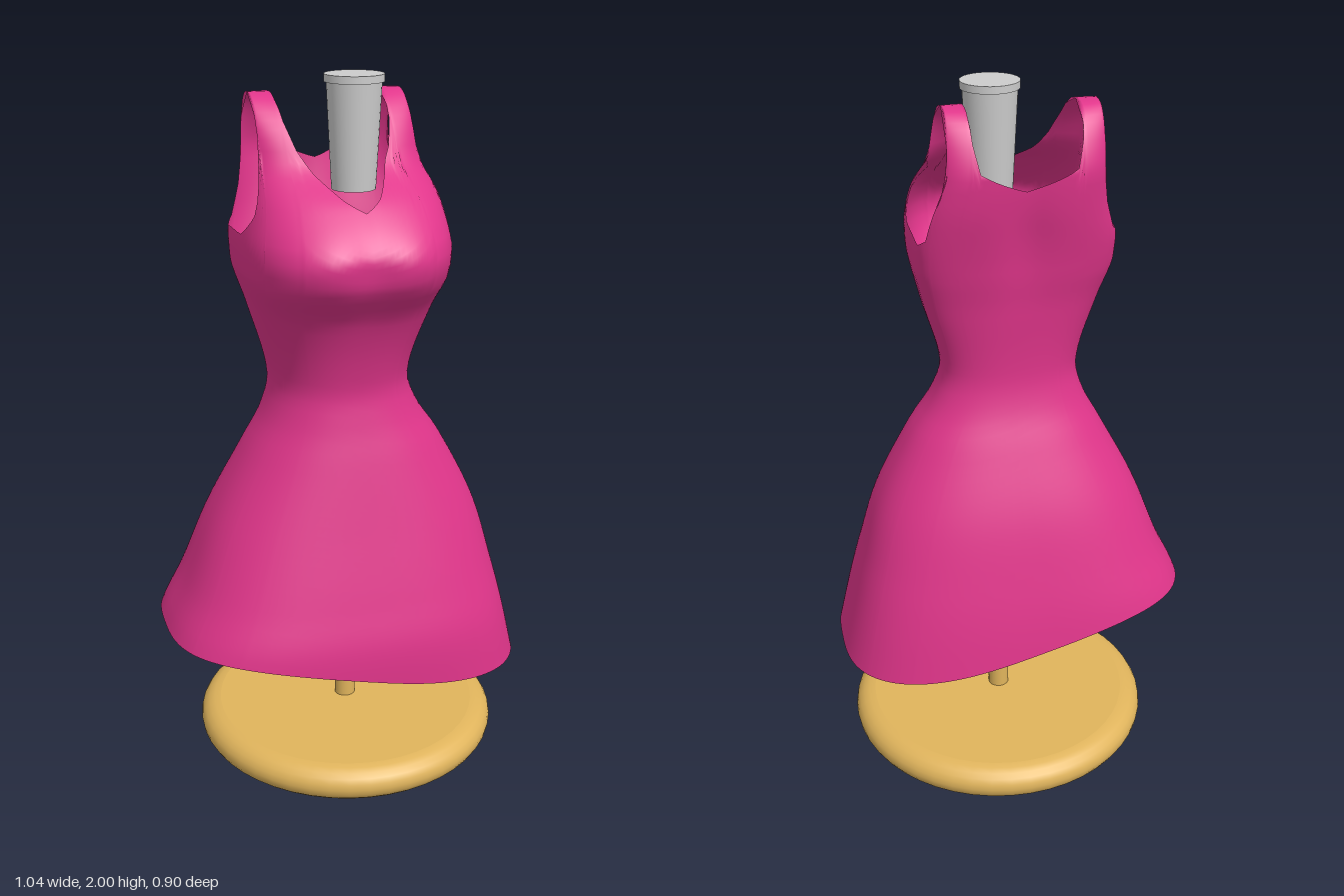
import * as THREE from 'three';

const { smoothstep, clamp } = THREE.MathUtils;
const SHOULDER = 1.8, TOP = 1.955;

// Dress outline by height: y, left x, right x, front z, back z
const PROFILE = [
  [0.30, -0.570, 0.525, 0.415, -0.285],
  [0.475, -0.520, 0.482, 0.413, -0.262],
  [0.60, -0.460, 0.450, 0.385, -0.238],
  [0.80, -0.380, 0.392, 0.335, -0.190],
  [1.00, -0.275, 0.290, 0.288, -0.118],
  [1.10, -0.222, 0.222, 0.265, -0.080],
  [1.20, -0.200, 0.190, 0.256, -0.063],
  [1.40, -0.252, 0.240, 0.325, -0.078],
  [1.50, -0.284, 0.262, 0.418, -0.097],
  [1.55, -0.288, 0.266, 0.438, -0.106],
  [1.60, -0.286, 0.265, 0.432, -0.117],
  [1.70, -0.262, 0.250, 0.325, -0.140],
  [SHOULDER, -0.250, 0.218, 0.185, -0.152],
  [TOP, -0.254, 0.212, 0.185, -0.152],
];

// Upper edge by angle from the front to the back: neckline, strap, armhole, strap, back neckline
const EDGE = [
  [0, 1.69], [0.15, 1.718], [0.35, 1.77], [0.5, 1.825], [0.6, 1.89], [0.64, TOP],
  [1.08, TOP], [1.10, 1.86], [1.16, 1.77], [1.30, 1.67], [1.50, 1.612], [1.75, 1.60],
  [1.95, 1.62], [2.03, 1.70], [2.065, 1.80], [2.08, TOP],
  [2.50, TOP], [2.53, 1.88], [2.62, 1.81], [Math.PI, 1.755],
];

// Smooth interpolation of the outline rows
function outlineAt(y) {
  const last = PROFILE.length - 1;
  let i = 0;
  while (i < last - 1 && PROFILE[i + 1][0] < y) i++;
  const a = PROFILE[i], b = PROFILE[i + 1], h = b[0] - a[0];
  const p = PROFILE[Math.max(i - 1, 0)], q = PROFILE[Math.min(i + 2, last)];
  const t = clamp((y - a[0]) / h, 0, 1), t2 = t * t, t3 = t2 * t;
  return a.map((v, k) => {
    if (y > SHOULDER) return v + (b[k] - v) * t;
    const ma = (b[k] - p[k]) / (b[0] - p[0]) * h;
    const mb = (q[k] - v) / (q[0] - a[0]) * h;
    return (2 * t3 - 3 * t2 + 1) * v + (t3 - 2 * t2 + t) * ma + (3 * t2 - 2 * t3) * b[k] + (t3 - t2) * mb;
  });
}

// Point of the dress at an angle (0 = front, PI = back), on the +x or -x side
function dressPoint(phi, side, y) {
  const [, xl, xr, front, back] = outlineAt(y);
  // roundness of the sides, front and back: boxy skirt, round waist, full bust, flat back
  const ps = 0.7 + 0.17 * smoothstep(y, 0.4, 1.1);
  const pf = ps - 0.25 * smoothstep(y, 1.2, 1.55) - 0.3 * smoothstep(y, 1.75, 1.93);
  const pb = ps - 0.5 * smoothstep(y, 1.15, 1.65);
  // straps arch over the shoulder to a ridge at z = 0
  const arch = clamp((TOP - y) / (TOP - SHOULDER), 0, 1);
  const zf = front * Math.pow(arch, 0.5), zb = back * Math.pow(arch, 0.35);
  const zc = 0.06 * (1 - smoothstep(y, 1.65, 1.92));

  const c = Math.cos(phi), mid = (xl + xr) / 2;
  const x = mid + side * Math.pow(Math.max(Math.sin(phi), 0), ps) * (xr - xl) / 2;
  let z = c >= 0 ? zc + (zf - zc) * Math.pow(c, pf) : zc + (zb - zc) * Math.pow(-c, pb);
  // centre hollows between the bust halves and along the spine
  const centre = Math.exp(-(((x - mid) / 0.07) ** 2));
  if (c > 0) z -= 0.025 * centre * Math.exp(-(((y - 1.56) / 0.1) ** 2));
  else z += 0.02 * centre * smoothstep(y, 1.35, 1.7);
  return [x, y, z];
}

function dressGeometry() {
  // columns for one half, then mirrored round the back
  const half = [];
  EDGE.slice(0, -1).forEach(([a, ya], i) => {
    const [b, yb] = EDGE[i + 1];
    const n = Math.max(2, Math.ceil((b - a) / 0.05));
    for (let k = 0; k < n; k++) half.push([a + (b - a) * k / n, ya + (yb - ya) * k / n, 1]);
  });
  const mirrored = half.slice(1).reverse().map(([phi, top]) => [phi, top, -1]);
  const columns = [...half, [...EDGE[EDGE.length - 1], 1], ...mirrored];

  const lower = 40, upper = 18, split = 1.5, rows = lower + upper + 1;
  const positions = [], index = [];
  columns.forEach(([phi, top, side], i) => {
    // slanting hem
    const e = side * Math.pow(Math.max(Math.sin(phi), 0), 0.7);
    const hem = 0.393 - 0.08 * Math.sin(e * Math.PI / 2);
    for (let r = 0; r < rows; r++) {
      const y = r <= lower
        ? hem + (split - hem) * r / lower
        : split + (top - split) * Math.sin((r - lower) / upper * Math.PI / 2);
      positions.push(...dressPoint(phi, side, y));
      if (r === rows - 1) continue;
      const a = i * rows + r, b = ((i + 1) % columns.length) * rows + r;
      index.push(a, b, b + 1, a, b + 1, a + 1);
    }
  });
  const geometry = new THREE.BufferGeometry();
  geometry.setAttribute('position', new THREE.Float32BufferAttribute(positions, 3));
  geometry.setIndex(index);
  geometry.computeVertexNormals();
  return geometry;
}

// Flat disc with a rounded rim
function baseGeometry() {
  const points = [new THREE.Vector2(0, 0), new THREE.Vector2(0.39, 0)];
  for (let i = 0; i <= 10; i++) {
    const a = -Math.PI / 2 + Math.PI * i / 10;
    points.push(new THREE.Vector2(0.39 + 0.06 * Math.cos(a), 0.0525 + 0.0525 * Math.sin(a)));
  }
  points.push(new THREE.Vector2(0.39, 0.105), new THREE.Vector2(0, 0.105));
  return new THREE.LatheGeometry(points, 48);
}

export function createModel() {
  const model = new THREE.Group();
  const pink = new THREE.MeshStandardMaterial({ color: 0xe0358a, side: THREE.DoubleSide });
  const wood = new THREE.MeshStandardMaterial({ color: 0xe0b45c });
  const grey = new THREE.MeshStandardMaterial({ color: 0xcccccc });

  const add = (name, geometry, material, x = 0, y = 0, z = 0) => {
    const mesh = new THREE.Mesh(geometry, material);
    mesh.name = name;
    mesh.position.set(x, y, z);
    model.add(mesh);
  };

  add('dress', dressGeometry(), pink);

  // round wooden stand
  add('standBase', baseGeometry(), wood, 0.045);
  add('standPole', new THREE.CylinderGeometry(0.031, 0.031, 0.95, 24), wood, 0.043, 0.575, 0);

  // neck post with its cap
  add('neckPost', new THREE.CylinderGeometry(0.074, 0.06, 0.28, 32), grey, 0.043, 1.84, 0.063);
  add('neckCap', new THREE.CylinderGeometry(0.08, 0.08, 0.02, 32), grey, 0.043, 1.99, 0.063);

  return model;
}
